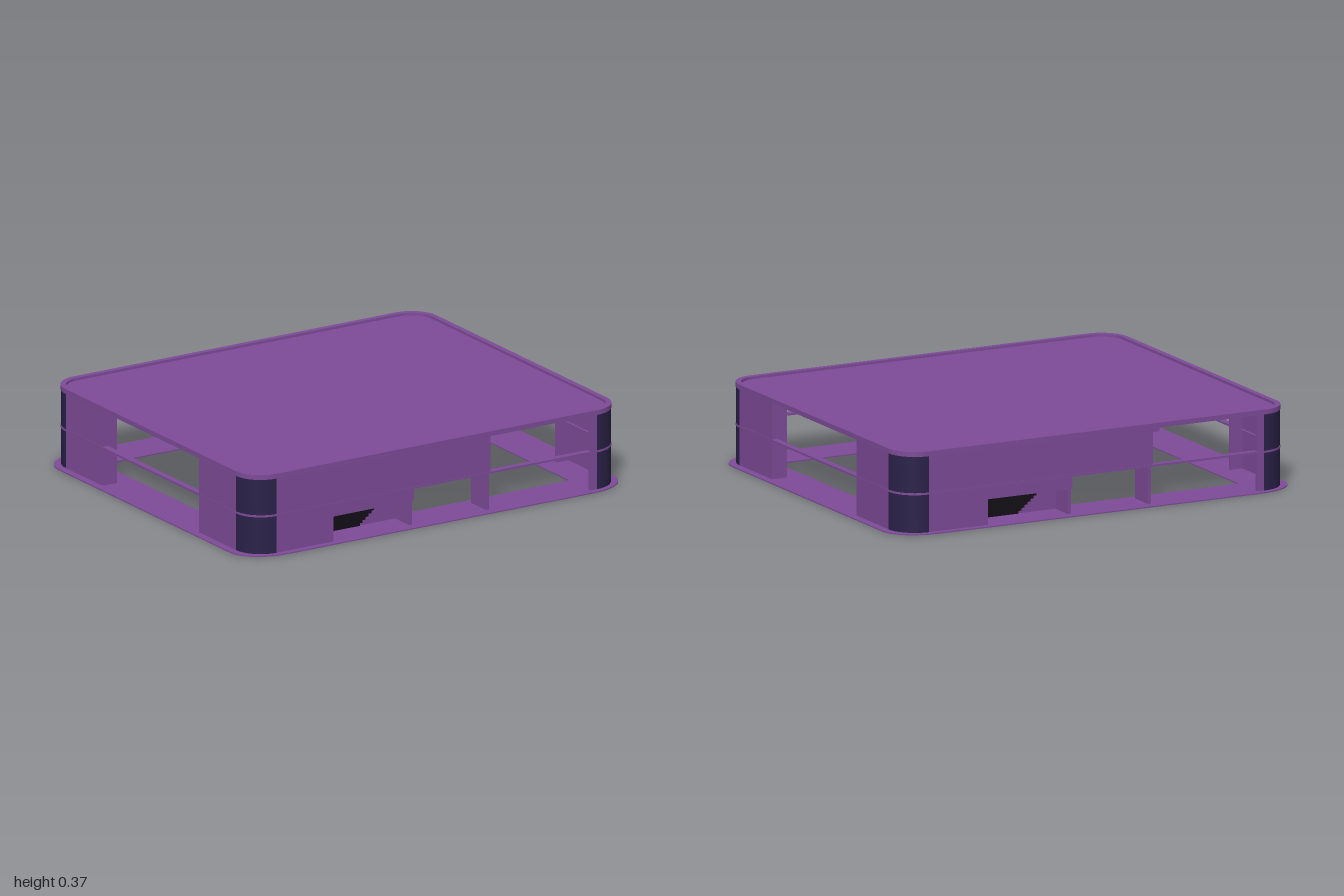
import * as THREE from 'three';
import { toCreasedNormals } from 'three/addons/utils/BufferGeometryUtils.js';

const purple = new THREE.MeshStandardMaterial({ color: 0x7d4b98 });
const navy = new THREE.MeshStandardMaterial({ color: 0x2a2148 });
const black = new THREE.MeshStandardMaterial({ color: 0x120e16 });

const W = 0.965, D = 0.82, R = 0.13, T = 0.015; // wall half sizes, corner radius, thickness
const MID = 0.18, TOP = 0.35;

function add(group, name, geometry, material = purple) {
  const mesh = new THREE.Mesh(geometry, material);
  mesh.name = name;
  group.add(mesh);
  return mesh;
}

// box given by its lower and upper limits
function block(group, name, x0, x1, y0, y1, z0, z1, material) {
  const mesh = add(group, name, new THREE.BoxGeometry(x1 - x0, y1 - y0, z1 - z0), material);
  mesh.position.set((x0 + x1) / 2, (y0 + y1) / 2, (z0 + z1) / 2);
}

// rectangle with elliptical corners
function outline(path, w, d, rx, rz) {
  path.moveTo(w, -d + rz);
  path.lineTo(w, d - rz);
  path.absellipse(w - rx, d - rz, rx, rz, 0, Math.PI / 2);
  path.absellipse(-w + rx, d - rz, rx, rz, Math.PI / 2, Math.PI);
  path.absellipse(-w + rx, -d + rz, rx, rz, Math.PI, Math.PI * 1.5);
  path.absellipse(w - rx, -d + rz, rx, rz, Math.PI * 1.5, Math.PI * 2);
  return path;
}

// horizontal slab between two heights
function slab(shape, y0, y1, curveSegments) {
  const g = new THREE.ExtrudeGeometry(shape, { depth: y1 - y0, bevelEnabled: false, curveSegments });
  return toCreasedNormals(g.rotateX(-Math.PI / 2).translate(0, y0, 0), 0.5);
}

function ring(w, d, r, inset) {
  const shape = outline(new THREE.Shape(), w, d, r, r);
  shape.holes.push(outline(new THREE.Path(), w - inset, d - inset, r - inset, r - inset));
  return shape;
}

// front and right sides; turned half a circle it also serves as back and left
function buildHalf() {
  const half = new THREE.Group();
  const z = D - T, x = W - T;

  // front wall around its openings
  block(half, 'lowerFrontWall', -W + R, -0.54, 0, MID, z, D);
  block(half, 'recessLintel', -0.54, -0.12, 0.12, MID, z, D);
  block(half, 'upperFrontWall', -W + R, 0.28, MID, TOP, z, D);
  block(half, 'frontPost', 0.8, W - R, 0, TOP, z, D);
  block(half, 'partition', 0.265, 0.28, 0, TOP, D - 0.135, z);

  // entrance recess with a slanted slatted shutter
  const back = D - 0.13;
  block(half, 'recessBack', -0.57, -0.12, 0, MID, back - T, back);
  block(half, 'recessLeftWall', -0.57, -0.54, 0, MID, back, z);
  block(half, 'recessRightWall', -0.135, -0.12, 0, MID, back, z);
  const slats = 10, step = 0.12 / slats;
  for (let i = 0; i < slats; i++) {
    const end = -0.33 + 0.15 * (i + 0.5) / slats;
    block(half, 'shutterSlat', -0.54, end, i * step + 0.005, (i + 1) * step + 0.004, back, back + 0.006, black);
  }

  // side wall pieces with short returns beside the wide opening
  for (const s of [-1, 1]) {
    const a = s * 0.39, b = s * (D - R);
    block(half, 'sideWall', x, W, 0, TOP, Math.min(a, b), Math.max(a, b));
    const c = s * (0.39 + T);
    block(half, 'sideReturn', W - 0.075, x, 0, TOP, Math.min(a, c), Math.max(a, c));
  }
  return half;
}

export function createModel() {
  const model = new THREE.Group();
  model.name = 'building';

  // ground plate with a large opening
  const base = outline(new THREE.Shape(), 1, 0.85, 0.2, 0.15);
  base.holes.push(outline(new THREE.Path(), 0.8, 0.65, 0.01, 0.01));
  add(model, 'groundPlate', slab(base, 0, 0.005, 4));

  for (const turn of [0, Math.PI]) {
    const half = buildHalf();
    half.name = turn ? 'backAndLeftSides' : 'frontAndRightSides';
    half.rotation.y = turn;
    model.add(half);
  }

  // rounded dark corners
  for (let i = 0; i < 4; i++) {
    const sx = i % 3 ? -1 : 1, sy = i < 2 ? 1 : -1, a = i * Math.PI / 2;
    const cx = sx * (W - R), cy = sy * (D - R);
    const shape = new THREE.Shape();
    shape.absarc(cx, cy, R, a, a + Math.PI / 2, false);
    shape.absarc(cx, cy, R - T, a + Math.PI / 2, a, true);
    add(model, 'cornerWall', slab(shape, 0.005, TOP, 8), navy);
  }

  // floor rail, roof and raised roof edge
  add(model, 'floorRail', slab(ring(W + 0.002, D + 0.002, R, 0.03), MID - 0.005, MID + 0.004, 8));
  add(model, 'roof', slab(outline(new THREE.Shape(), W - 0.02, D - 0.02, R - 0.02, R - 0.02), TOP - 0.005, 0.358, 8));
  add(model, 'roofEdge', slab(ring(W + 0.002, D + 0.002, R, 0.025), TOP - 0.002, 0.37, 8));
  return model;
}
